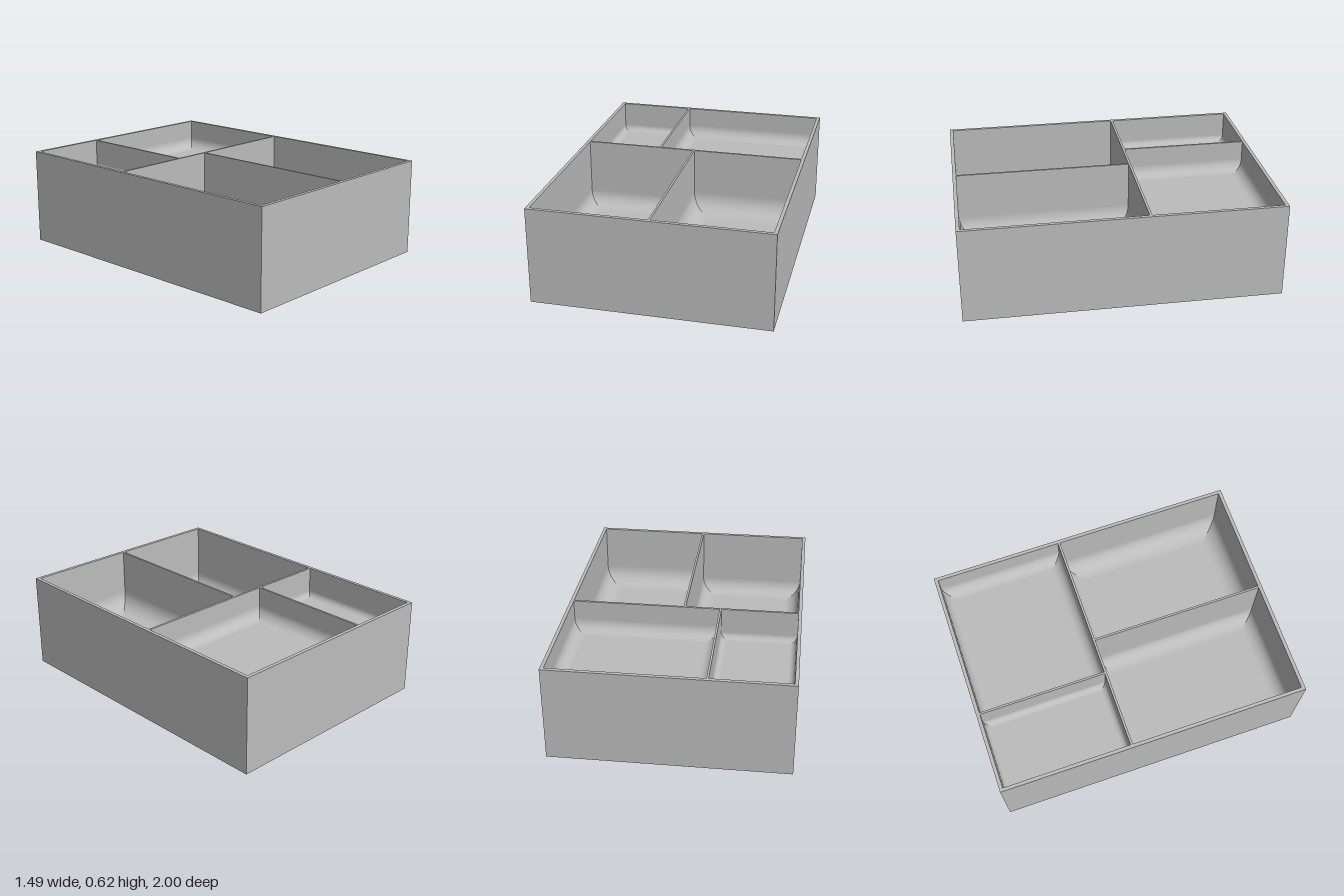
import * as THREE from 'three';

const W = 1.49, H = 0.62, L = 2;

// Compartments: plan bounds, floor height and fillet radius
const COMPARTMENTS = [
  { name: 'backRightCompartment', x0: -0.723, x1: -0.235, z0: -0.977, z1: -0.158, floor: 0.415, r: 0.04 },
  { name: 'backLeftCompartment', x0: -0.222, x1: 0.723, z0: -0.977, z1: -0.158, floor: 0.415, r: 0.075 },
  { name: 'frontRightCompartment', x0: -0.723, x1: -0.004, z0: -0.143, z1: 0.977, floor: 0.165, r: 0.095 },
  { name: 'frontLeftCompartment', x0: 0.009, x1: 0.723, z0: -0.143, z1: 0.977, floor: 0.195, r: 0.12 },
];

// Rectangle corners, inset by d
const corners = ({ x0, x1, z0, z1 }, d = 0) => [
  [x0 + d, z0 + d], [x1 - d, z0 + d], [x1 - d, z1 - d], [x0 + d, z1 - d],
];

// Four inward-facing walls curving into the floor, mitred at the corners
function wallsGeometry(c) {
  const steps = 12;
  const profile = [[0, H], [0, c.floor + c.r + 0.001]];
  for (let i = 0; i <= steps; i++) {
    const a = (i / steps) * Math.PI / 2;
    profile.push([c.r * (1 - Math.cos(a)), c.floor + c.r * (1 - Math.sin(a))]);
  }
  const position = [], index = [];
  for (let side = 0; side < 4; side++) {
    const base = position.length / 3;
    profile.forEach(([inset, y], row) => {
      const ring = corners(c, inset);
      for (const [x, z] of [ring[side], ring[(side + 1) % 4]]) position.push(x, y, z);
      if (row === 0) return;
      const k = base + row * 2;
      index.push(k - 2, k, k - 1, k - 1, k, k + 1);
    });
  }
  const g = new THREE.BufferGeometry();
  g.setAttribute('position', new THREE.Float32BufferAttribute(position, 3));
  g.setIndex(index);
  g.computeVertexNormals();
  return g;
}

export function createModel() {
  const model = new THREE.Group();
  model.name = 'compartmentTray';
  const grey = new THREE.MeshStandardMaterial({ color: 0xbcbcbc });
  grey.name = 'grey';

  const add = (parent, name, geometry) => {
    const mesh = new THREE.Mesh(geometry, grey);
    mesh.name = name;
    parent.add(mesh);
    return mesh;
  };

  // Outer box without its top face
  const shell = new THREE.BoxGeometry(W, H, L);
  const faces = Array.from(shell.index.array);
  faces.splice(12, 6);
  shell.clearGroups();
  shell.setIndex(faces);
  add(model, 'outerShell', shell).position.y = H / 2;

  // Top edge of the outer walls and dividers
  const points = (list) => list.map(([x, z]) => new THREE.Vector2(x, -z));
  const rim = new THREE.Shape(points(corners({ x0: -W / 2, x1: W / 2, z0: -L / 2, z1: L / 2 })));
  for (const c of COMPARTMENTS) rim.holes.push(new THREE.Path(points(corners(c))));
  add(model, 'rim', new THREE.ShapeGeometry(rim).rotateX(-Math.PI / 2)).position.y = H;

  // Compartment interiors
  for (const c of COMPARTMENTS) {
    const group = new THREE.Group();
    group.name = c.name;
    add(group, 'walls', wallsGeometry(c));
    const floor = new THREE.PlaneGeometry(c.x1 - c.x0 - 2 * c.r, c.z1 - c.z0 - 2 * c.r);
    add(group, 'floor', floor.rotateX(-Math.PI / 2))
      .position.set((c.x0 + c.x1) / 2, c.floor, (c.z0 + c.z1) / 2);
    model.add(group);
  }
  return model;
}
